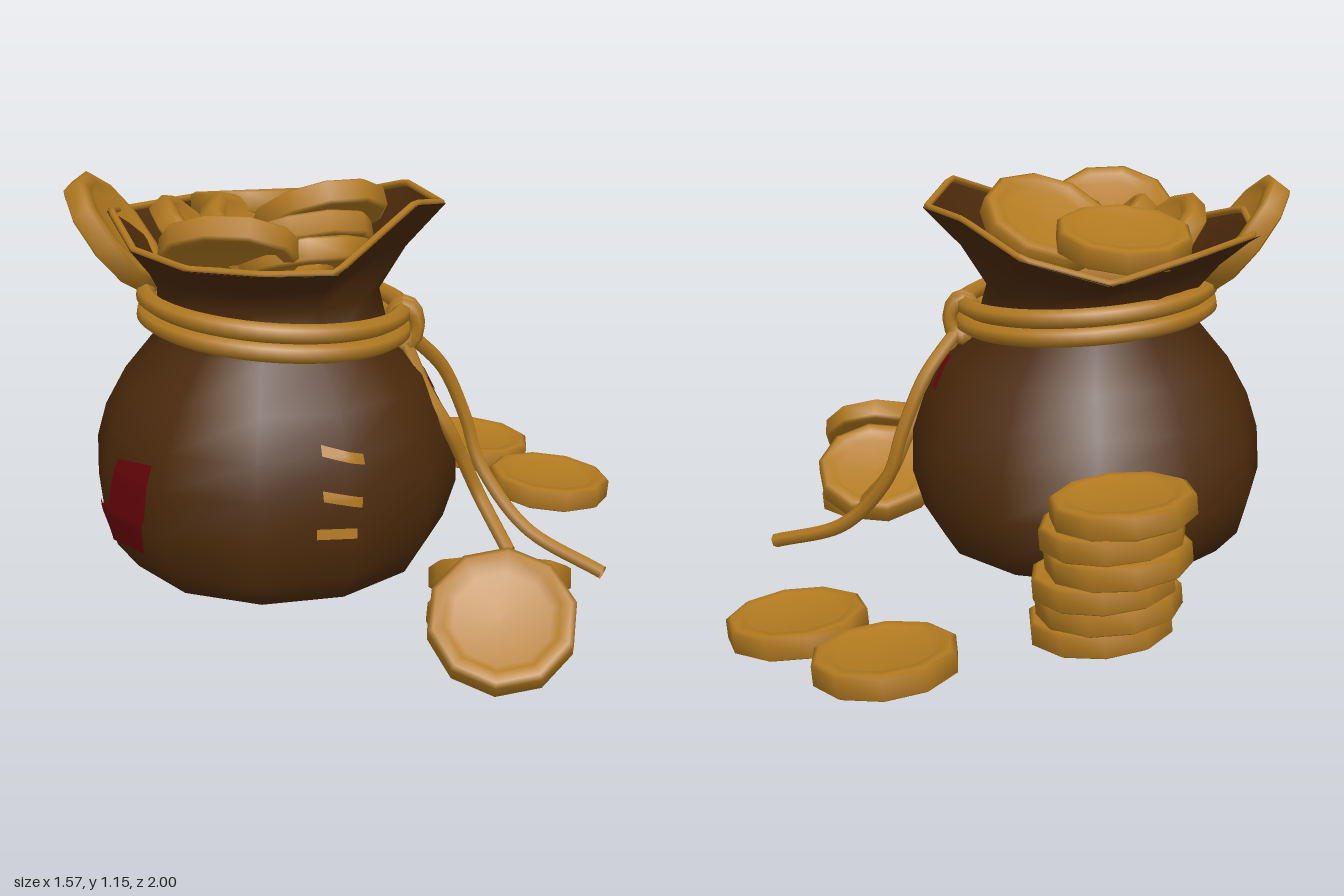
import * as THREE from 'three';

const SEG = 12;

const mat = (name, color) => {
  const m = new THREE.MeshStandardMaterial({ color, side: THREE.DoubleSide });
  m.name = name;
  return m;
};

// Grid surface from rows of points; closed rows wrap around
function gridGeometry(rows, closed) {
  const n = rows[0].length, pos = [], idx = [];
  rows.forEach(r => r.forEach(p => pos.push(p.x, p.y, p.z)));
  for (let j = 0; j < rows.length - 1; j++) {
    for (let i = 0; i < (closed ? n : n - 1); i++) {
      const a = j * n + i, b = j * n + (i + 1) % n, c = a + n, d = b + n;
      idx.push(a, c, b, b, c, d);
    }
  }
  const g = new THREE.BufferGeometry();
  g.setAttribute('position', new THREE.Float32BufferAttribute(pos, 3));
  g.setIndex(idx);
  g.computeVertexNormals();
  return g;
}

// Sack cross-sections: height, xMin, xMax, zMin, zMax
const SECTIONS = [
  [0.04, -0.2, -0.2, 0.12, 0.12],
  [0.05, -0.48, 0.08, -0.19, 0.42],
  [0.10, -0.64, 0.21, -0.37, 0.60],
  [0.17, -0.70, 0.255, -0.44, 0.645],
  [0.28, -0.735, 0.29, -0.45, 0.663],
  [0.40, -0.73, 0.288, -0.41, 0.65],
  [0.50, -0.70, 0.255, -0.355, 0.625],
  [0.61, -0.64, 0.20, -0.29, 0.575],
  [0.72, -0.55, 0.10, -0.21, 0.47],
  [0.84, -0.55, 0.07, -0.20, 0.41],
];

// Uneven mouth of the sack, starting at +x and turning toward +z
const RIM = [
  [0.25, 1.07, 0.06], [0.18, 1.115, 0.30], [-0.01, 1.005, 0.635], [-0.2, 0.99, 0.60],
  [-0.41, 0.985, 0.53], [-0.58, 0.99, 0.34], [-0.68, 1.05, 0.12], [-0.69, 1.01, -0.08],
  [-0.5, 1.0, -0.33], [-0.25, 0.945, -0.445], [-0.01, 1.005, -0.41], [0.145, 1.075, -0.2],
].map(p => new THREE.Vector3(...p));

const body = SECTIONS.map(([y, x0, x1, z0, z1]) => Array.from({ length: SEG }, (_, i) => {
  const a = (i / SEG) * Math.PI * 2;
  return new THREE.Vector3((x0 + x1) / 2 + Math.cos(a) * (x1 - x0) / 2, y,
    (z0 + z1) / 2 + Math.sin(a) * (z1 - z0) / 2);
}));
const neck = body[body.length - 1];
const flare = neck.map((p, i) => {
  const q = p.clone().lerp(RIM[i], 0.4);
  q.y = p.y + (RIM[i].y - p.y) * 0.5;
  return q;
});

// Point on the sack wall at an angle in degrees and a height, lifted slightly
function onSack(deg, y, lift = 0.007) {
  const s = (((deg % 360) + 360) % 360) / 360 * SEG, i = Math.floor(s), f = s - i;
  let j = 1;
  while (SECTIONS[j + 1][0] < y) j++;
  const t = (y - SECTIONS[j][0]) / (SECTIONS[j + 1][0] - SECTIONS[j][0]);
  const along = r => r[i].clone().lerp(r[(i + 1) % SEG], f);
  const p = along(body[j]).lerp(along(body[j + 1]), t);
  const a = deg * Math.PI / 180;
  return p.add(new THREE.Vector3(Math.cos(a) * lift, 0, Math.sin(a) * lift));
}

// Thin panel following the wall; corners are [angle, height]: low a, low b, high a, high b
function panelGeometry(la, lb, ha, hb, n = 8) {
  const mix = (p, q, t) => [p[0] + (q[0] - p[0]) * t, p[1] + (q[1] - p[1]) * t];
  const rows = [];
  for (let j = 0; j <= n; j++) {
    const p = mix(la, ha, j / n), q = mix(lb, hb, j / n);
    rows.push(Array.from({ length: n + 1 }, (_, i) => onSack(...mix(p, q, i / n))));
  }
  return gridGeometry(rows, false);
}

export function createModel() {
  const model = new THREE.Group();
  model.name = 'coinSack';
  const brown = mat('brown cloth', 0x4c2a0b);
  const gold = mat('gold', 0xb17920);
  const red = mat('red patch', 0x680509);

  const add = (name, geometry, material, parent = model) => {
    const m = new THREE.Mesh(geometry, material);
    m.name = name;
    parent.add(m);
    return m;
  };
  const tube = (name, points, radius, closed = false, tension = 0.5, steps = 36) => add(name,
    new THREE.TubeGeometry(new THREE.CatmullRomCurve3(points, closed, 'catmullrom', tension),
      steps, radius, 6, closed), gold);

  // Cloth body with flared mouth, hem set just inside the edge
  add('sack', gridGeometry([...body, flare, RIM], true), brown);
  const hem = RIM.map(p => new THREE.Vector3(-0.22 + (p.x + 0.22) * 0.975, p.y + 0.003,
    0.1 + (p.z - 0.1) * 0.975));
  tube('sackHem', hem, 0.01, true, 0, 72);

  // Patches and stitches
  add('patchUpper', panelGeometry([147, 0.29], [128, 0.30], [143, 0.44], [126, 0.46]), red);
  add('patchLower', panelGeometry([161, 0.18], [132, 0.195], [157, 0.29], [128, 0.32]), red);
  add('sidePatch', panelGeometry([-11, 0.54], [-6, 0.54], [-9, 0.63], [-4, 0.63]), red);
  [[69, 0.525, 55, 0.49], [70, 0.41, 58, 0.385], [72, 0.31, 60, 0.305]].forEach(([a, ya, b, yb]) =>
    add('stitch', panelGeometry([a, ya - 0.014], [b, yb - 0.014], [a, ya + 0.014], [b, yb + 0.014]), gold));

  // Rope wound twice around the neck, dipping toward the knot
  [0.81, 0.757].forEach(y => {
    const pts = Array.from({ length: SEG }, (_, i) => {
      const a = (i / SEG) * Math.PI * 2;
      return new THREE.Vector3(-0.22 + 0.355 * Math.cos(a), y - 0.028 * Math.cos(a),
        0.13 + 0.34 * Math.sin(a));
    });
    tube('neckRope', pts, 0.027, true, 0.5, 48);
  });

  // Knot and hanging ends
  [0.09, 0.135].forEach(z => {
    const k = add('knot', new THREE.TorusGeometry(0.038, 0.02, 6, 12), gold);
    k.scale.y = 1.35;
    k.position.set(0.14, 0.74, z);
  });
  const path = pts => pts.map(p => new THREE.Vector3(...p));
  tube('ropeEnd', path([[0.14, 0.70, 0.13], [0.20, 0.57, 0.165], [0.265, 0.465, 0.19],
    [0.31, 0.36, 0.165], [0.36, 0.25, 0.165], [0.44, 0.13, 0.265]]), 0.021);
  tube('ropeEnd', path([[0.16, 0.70, 0.09], [0.25, 0.585, 0.015], [0.315, 0.43, -0.01],
    [0.365, 0.28, 0.005], [0.5, 0.12, 0.075], [0.71, 0.035, 0.18]]), 0.021);

  // Coin with raised rim, square edge and dished faces
  const half = [[0, 0.01], [0.125, 0.014], [0.148, 0.034], [0.176, 0.034], [0.19, 0.026]];
  const profile = [...half.map(([r, y]) => [r, -y]), ...half.slice().reverse()];
  const coinGeo = new THREE.LatheGeometry(profile.map(p => new THREE.Vector2(...p)), 10);
  const up = new THREE.Vector3(0, 1, 0);
  const coins = (groupName, list) => {
    const g = new THREE.Group();
    g.name = groupName;
    model.add(g);
    list.forEach(([x, y, z, nx = 0.09, ny = 1, nz = 0], i) => {
      const c = add('coin', coinGeo, gold, g);
      c.position.set(x, y, z);
      c.quaternion.setFromUnitVectors(up, new THREE.Vector3(nx, ny, nz).normalize());
      c.rotateY(i * 0.9);
    });
  };

  coins('looseCoins', [[0.34, 0.07, -0.815], [0.585, 0.05, -0.515]]);
  coins('coinStack', [
    [-0.21, 0.11, -0.665], [-0.23, 0.175, -0.68], [-0.215, 0.24, -0.70],
    [-0.25, 0.306, -0.715], [-0.235, 0.371, -0.705], [-0.26, 0.436, -0.71],
  ]);
  coins('leaningCoins', [
    [0.41, 0.055, 0.60], [0.41, 0.113, 0.69, 0.08, 1, 0.05],
    [0.41, 0.18, 0.84, 0, 0.74, 0.68], [0.41, 0.15, 0.50, 0, 0.86, -0.5],
  ]);
  // Coins fan outward, leaning on the walls of the mouth
  coins('coinsInSack', [
    [-0.30, 1.02, -0.175, -0.05, 1, -0.2],
    [-0.10, 1.03, 0.03, -0.25, 0.83, -0.45],
    [-0.13, 0.99, 0.18, -0.2, 0.87, -0.4],
    [-0.13, 0.94, 0.21, -0.15, 0.9, -0.35],
    [-0.41, 0.945, 0.11, 0.7, 0.7, -0.1],
    [-0.27, 0.95, 0.12, 0.7, 0.7, 0.1],
    [-0.31, 1.0, 0.36, 0, 0.82, -0.53],
    [-0.66, 0.985, 0.10, 0.8, 0.6, 0],
    [-0.24, 0.89, 0.10, 0, 1, 0],
  ]);
  return model;
}
